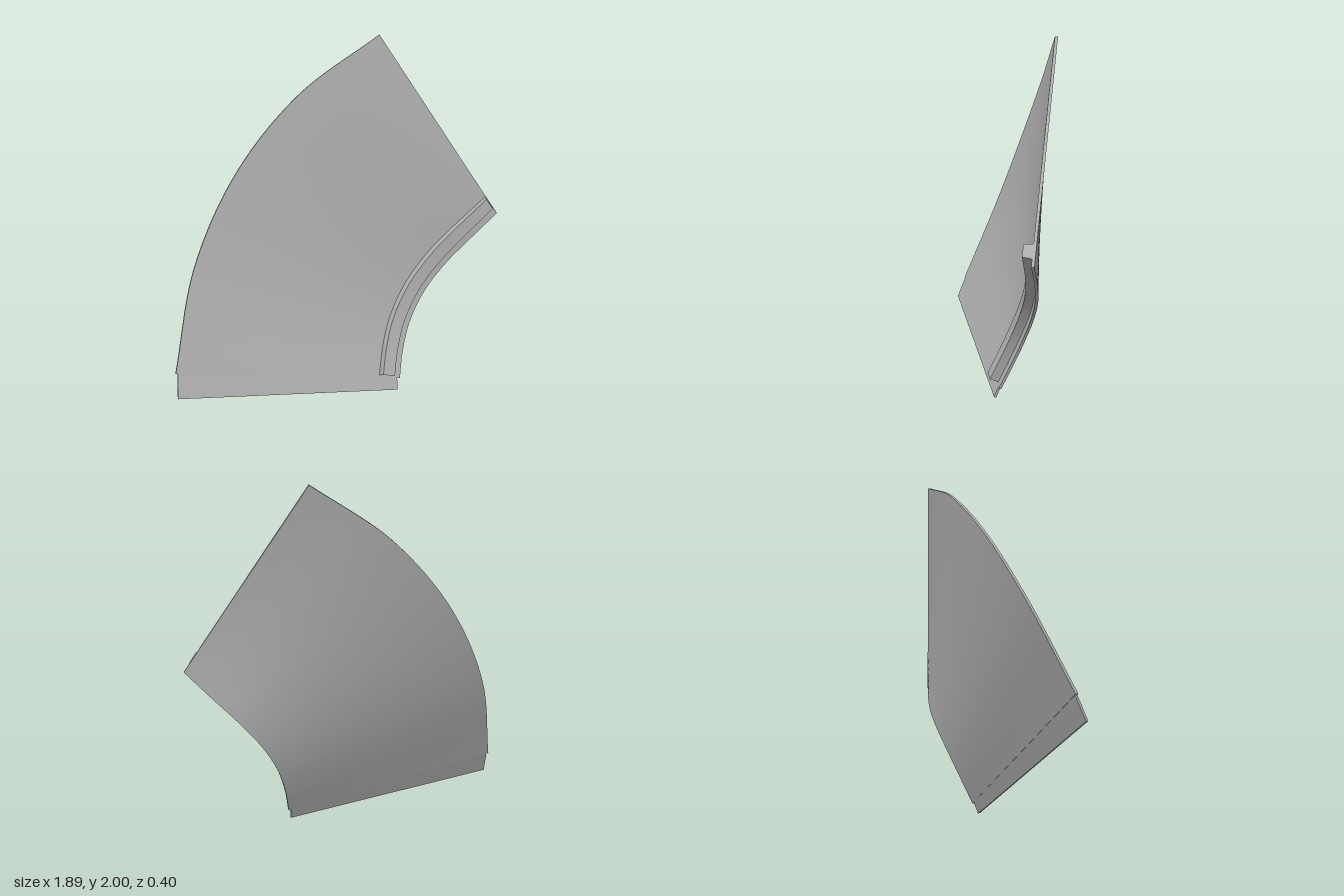
import * as THREE from 'three';

const V = (x, y, z) => new THREE.Vector3(x, y, z);
const { lerp } = THREE.MathUtils;

// Long outer edge and short inner edge of the curved panel, bottom to top
const outerEdge = new THREE.CatmullRomCurve3([
  V(-0.945, 0.24, 0.12), V(-0.79, 0.78, -0.06), V(-0.52, 1.27, -0.165),
  V(-0.15, 1.68, -0.2), V(0.31, 2, -0.165),
]);
const innerEdge = new THREE.CatmullRomCurve3([
  V(0.345, 0.06, 0.145), V(0.38, 0.2, 0.09), V(0.44, 0.36, 0.04), V(0.54, 0.53, 0.01),
  V(0.67, 0.69, 0.013), V(0.8, 0.83, 0.045), V(0.945, 0.99, 0.095),
]);

// Ruled back surface: s runs from outer to inner edge, t from bottom to top
function ruled(s, t) {
  return outerEdge.getPointAt(t).lerp(innerEdge.getPointAt(t), s);
}

// Point raised from the ruled surface along its front normal
function raised(s, t, depth) {
  const e = 0.002;
  const t0 = Math.max(0, t - e), t1 = Math.min(1, t + e);
  const across = ruled(1, t).sub(ruled(0, t));
  const along = ruled(s, t1).sub(ruled(s, t0));
  return ruled(s, t).addScaledVector(across.cross(along).normalize(), depth);
}

// Bend a subdivided unit box with a rule; its edges stay sharp
function bentBox(name, material, nu, nv, rule) {
  const geometry = new THREE.BoxGeometry(1, 1, 1, nu, nv, 1);
  const p = geometry.attributes.position;
  for (let i = 0; i < p.count; i++) {
    const q = rule(p.getX(i) + 0.5, p.getY(i) + 0.5, p.getZ(i) + 0.5);
    p.setXYZ(i, q.x, q.y, q.z);
  }
  geometry.computeVertexNormals();
  const mesh = new THREE.Mesh(geometry, material);
  mesh.name = name;
  return mesh;
}

export function createModel() {
  const group = new THREE.Group();
  group.name = 'curvedPanel';
  const grey = new THREE.MeshStandardMaterial({ color: 0xb0b0b0 });
  grey.name = 'grey';

  // Curved main sheet
  group.add(bentBox('sheet', grey, 16, 48, (u, v, w) => raised(u, v, w * 0.016)));

  // Raised rail following the inner edge, slightly tapered towards the front
  group.add(bentBox('rail', grey, 1, 48, (u, v, w) =>
    raised(lerp(0.902 + w * 0.005, 0.966 - w * 0.005, u), lerp(0.012, 0.998, v), lerp(0.01, 0.066, w))));

  // Flat lip overlapping the front of the bottom edge
  const lowLeft = V(-0.945, 0.115, 0.182), lowRight = V(0.325, 0.005, 0.182);
  const topLeft = V(-0.932, 0.268, 0.126), topRight = V(0.33, 0.075, 0.155);
  const back = V(0, -0.005, -0.012);
  group.add(bentBox('bottomLip', grey, 8, 1, (u, v, w) =>
    lowLeft.clone().lerp(lowRight, u)
      .lerp(topLeft.clone().lerp(topRight, u), v)
      .addScaledVector(back, 1 - w)));

  return group;
}
